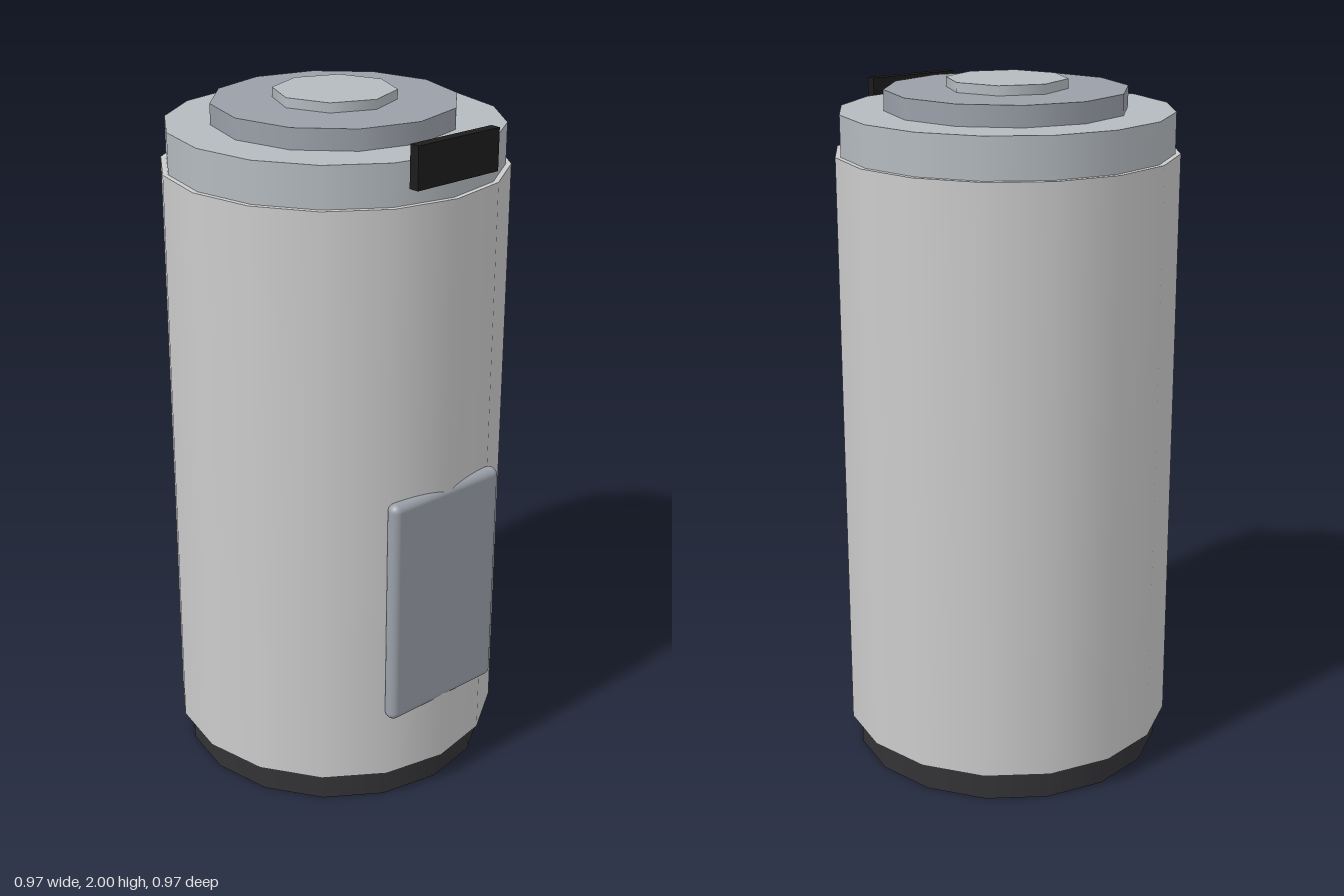
import * as THREE from 'three';
import { RoundedBoxGeometry } from 'three/addons/geometries/RoundedBoxGeometry.js';

const paint = (color) => new THREE.MeshStandardMaterial({ color });

export function createModel() {
  const model = new THREE.Group();
  const grey = paint(0xcccccc);
  const steel = paint(0xb4babf);
  const slate = paint(0x9a9fa8);
  const charcoal = paint(0x333336);
  const black = paint(0x1c1c1c);

  const add = (name, geometry, material, x, y, z) => {
    const mesh = new THREE.Mesh(geometry, material);
    mesh.name = name;
    mesh.position.set(x, y, z);
    model.add(mesh);
  };

  // Stacked drums: name, radius, bottom, top, sides, material
  const drums = [
    ['base', 0.457, 0, 0.09, 16, charcoal],
    ['body', 0.485, 0.09, 1.8, 16, grey],
    ['cap', 0.47, 1.8, 1.915, 16, steel],
    ['lidDisc', 0.342, 1.915, 1.973, 12, slate],
    ['topButton', 0.171, 1.973, 2, 8, steel],
  ];
  for (const [name, radius, bottom, top, sides, material] of drums) {
    add(name, new THREE.CylinderGeometry(radius, radius, top - bottom, sides),
      material, 0, (bottom + top) / 2, -0.0005);
  }

  // Rounded panel set into the front of the body
  add('frontPanel', new RoundedBoxGeometry(0.4, 0.685, 0.046, 4, 0.022), slate, 0, 0.632, 0.4625);

  // Dark latch bar on the front of the cap
  add('latchBar', new THREE.BoxGeometry(0.286, 0.116, 0.03), black, 0, 1.904, 0.4695);

  return model;
}
